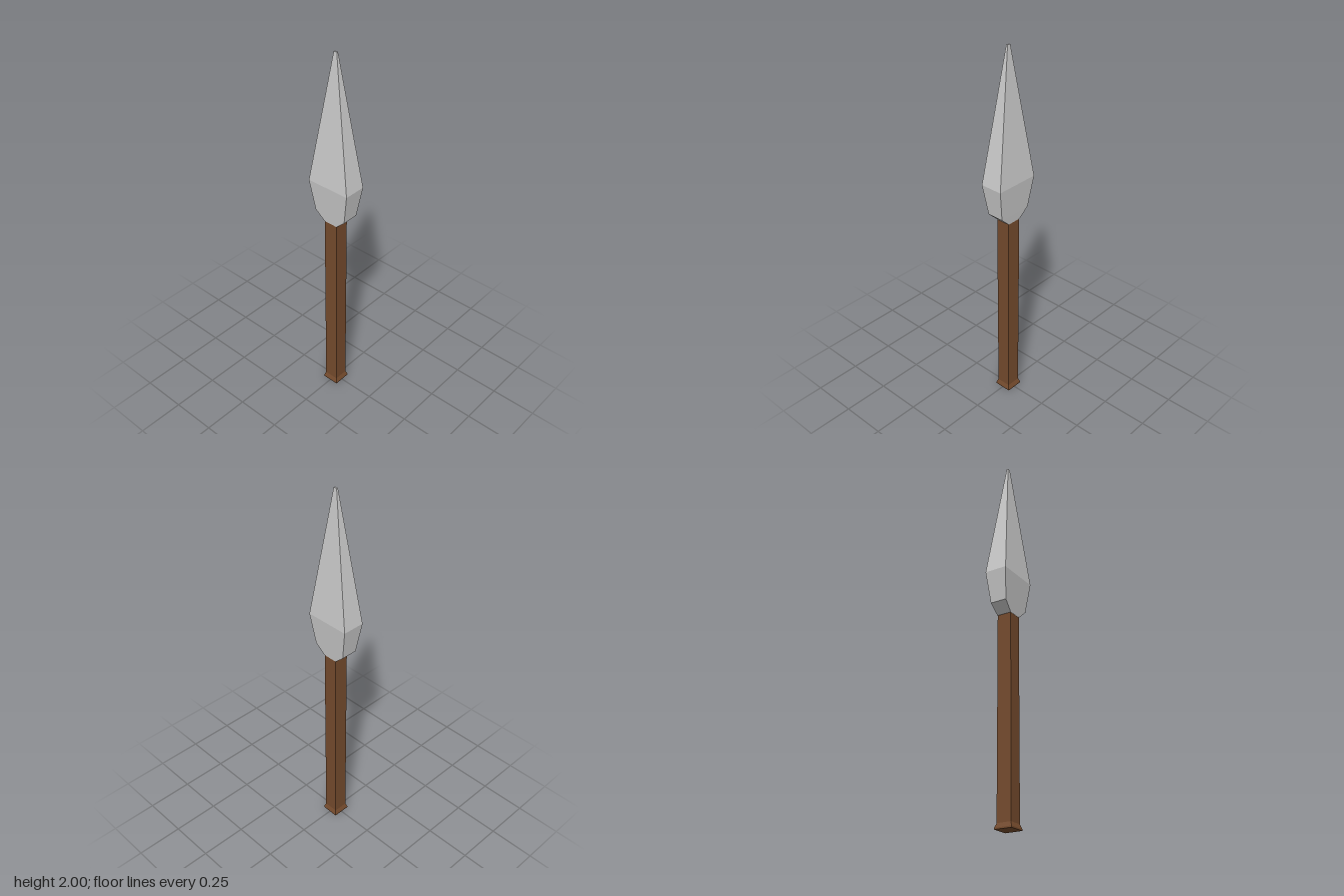
import * as THREE from 'three';

// Closed four-sided loft through rectangular sections [y, halfWidth, halfDepth], bottom to top
function loft(name, sections, color) {
  const corners = [[-1, 1], [1, 1], [1, -1], [-1, -1]];
  const positions = [], index = [];
  for (const [y, hx, hz] of sections)
    for (const [sx, sz] of corners) positions.push(sx * hx, y, sz * hz);

  // Side faces between neighbouring sections
  for (let s = 0; s < sections.length - 1; s++)
    for (let i = 0; i < 4; i++) {
      const a = s * 4 + i, b = s * 4 + (i + 1) % 4;
      index.push(a, b, b + 4, a, b + 4, a + 4);
    }

  // Bottom and top caps
  const t = (sections.length - 1) * 4;
  index.push(0, 2, 1, 0, 3, 2, t, t + 1, t + 2, t, t + 2, t + 3);

  const indexed = new THREE.BufferGeometry();
  indexed.setAttribute('position', new THREE.Float32BufferAttribute(positions, 3));
  indexed.setIndex(index);
  const geometry = indexed.toNonIndexed();
  geometry.computeVertexNormals();

  const mesh = new THREE.Mesh(geometry, new THREE.MeshStandardMaterial({ color, flatShading: true }));
  mesh.name = name;
  return mesh;
}

export function createModel() {
  const spear = new THREE.Group();
  spear.name = 'spear';

  // Square wooden shaft with a small flared foot
  spear.add(loft('shaft', [
    [0, 0.047, 0.047],
    [0.008, 0.047, 0.047],
    [0.03, 0.039, 0.039],
    [1.09, 0.039, 0.039],
  ], 0x754b2d));

  // Faceted blade, broad along z, ending in a tiny blunt tip
  spear.add(loft('spearhead', [
    [1.09, 0.04, 0.04],
    [1.14, 0.045, 0.094],
    [1.31, 0.061, 0.122],
    [2, 0.004, 0.009],
  ], 0xcccccc));

  return spear;
}
